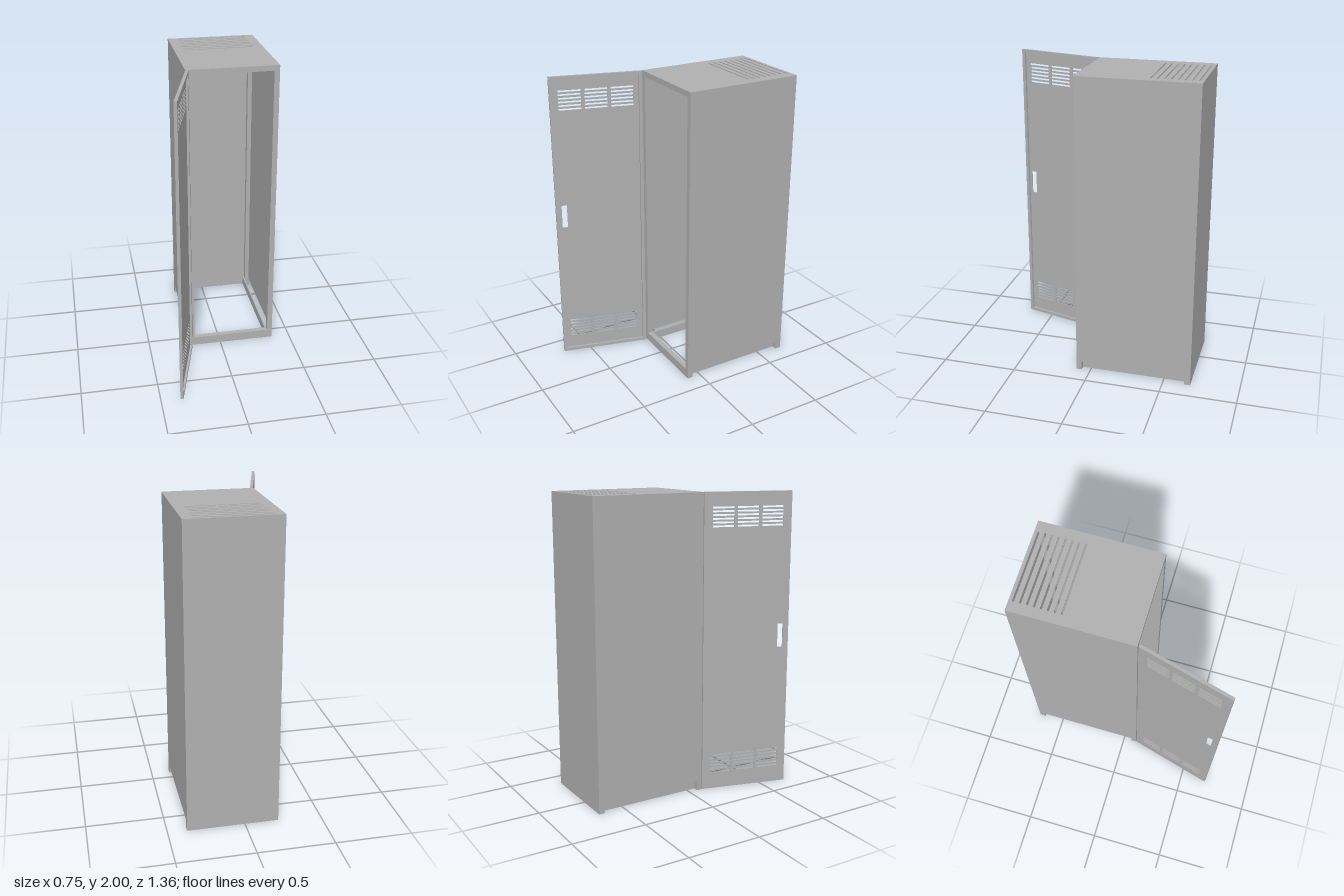
import * as THREE from 'three';

const X0 = -0.22, X1 = 0.375, Z0 = -0.68, Z1 = 0.095, H = 2;
const POST = 0.035, SHEET = 0.005;

// rectangle path from two corners
function rect(PathType, x0, y0, x1, y1) {
  const p = new PathType();
  p.moveTo(x0, y0);
  p.lineTo(x1, y0);
  p.lineTo(x1, y1);
  p.lineTo(x0, y1);
  p.closePath();
  return p;
}

// flat plate with rectangular cut-outs, each given as [x0, y0, x1, y1]
function plate(name, outline, holes, depth, material) {
  const shape = rect(THREE.Shape, ...outline);
  for (const h of holes) shape.holes.push(rect(THREE.Path, ...h));
  const geometry = new THREE.ExtrudeGeometry(shape, { depth, bevelEnabled: false });
  const mesh = new THREE.Mesh(geometry, material);
  mesh.name = name;
  return mesh;
}

// box from its two extreme corners
function box(name, x0, x1, y0, y1, z0, z1, material) {
  const mesh = new THREE.Mesh(new THREE.BoxGeometry(x1 - x0, y1 - y0, z1 - z0), material);
  mesh.position.set((x0 + x1) / 2, (y0 + y1) / 2, (z0 + z1) / 2);
  mesh.name = name;
  return mesh;
}

function buildCabinet(steel) {
  const cabinet = new THREE.Group();
  cabinet.name = 'cabinet';

  // front frame around the doorway
  const frame = plate('frontFrame', [X0, 0, X1, H],
    [[X0 + POST, 0.06, X1 - POST, H - POST]], POST, steel);
  frame.position.z = Z1 - POST;
  cabinet.add(frame);

  // back sheet reaches the ground
  cabinet.add(box('backPanel', X0, X1, 0, H, Z0, Z0 + SHEET, steel));

  // roof with a row of ventilation slots
  const slots = [];
  for (let i = 0; i < 8; i++) {
    const z = -0.653 + i * 0.0413;
    slots.push([-0.155, -z - 0.006, 0.308, -z + 0.006]);
  }
  const roof = plate('roof', [X0, -Z1 + POST, X1, -Z0 - SHEET], slots, SHEET, steel);
  roof.rotation.x = -Math.PI / 2;
  roof.position.y = H - SHEET;
  cabinet.add(roof);

  // mirrored side sheets, rear posts and inset kick plates
  for (const side of ['left', 'right']) {
    const span = (a, b) => side === 'left' ? [X1 - b, X1 - a] : [X0 + a, X0 + b];
    cabinet.add(
      box(side + 'SidePanel', ...span(0, SHEET), 0.06, H - SHEET, Z0 + POST + SHEET, Z1 - POST, steel),
      box(side + 'RearPost', ...span(0, POST), 0, H - SHEET, Z0 + SHEET, Z0 + POST + SHEET, steel),
      box(side + 'KickPlate', ...span(0.035, 0.045), 0, 0.06, Z0 + SHEET, Z1 - POST, steel),
    );
  }
  return cabinet;
}

function buildDoor(steel) {
  const W = 0.6, RIM = 0.022, T = 0.02;
  const door = new THREE.Group();
  door.name = 'door';

  // handle opening and two blocks of louvre slots
  const holes = [[0.523, 0.963, 0.559, 1.123]];
  for (const base of [0.12, 1.782]) {
    for (let row = 0; row < 6; row++) {
      for (let col = 0; col < 3; col++) {
        const u = 0.057 + col * 0.1695, y = base + row * 0.0238;
        holes.push([u, y - 0.006, u + 0.146, y + 0.006]);
      }
    }
  }
  const skin = plate('doorPanel', [RIM, RIM, W - RIM, H - RIM], holes, SHEET, steel);
  skin.position.z = -SHEET;

  // raised rim on the inner face
  const rim = plate('doorRim', [0, 0, W, H], [[RIM, RIM, W - RIM, H - RIM]], T, steel);
  rim.position.z = -T;

  door.add(skin, rim);
  door.position.set(X0, 0, 0.1);
  door.rotation.y = -THREE.MathUtils.degToRad(105);
  return door;
}

export function createModel() {
  const steel = new THREE.MeshStandardMaterial({ color: 0xb0b0b0 });
  steel.name = 'grey steel';
  const model = new THREE.Group();
  model.name = 'lockerCabinet';
  model.add(buildCabinet(steel), buildDoor(steel));
  return model;
}
